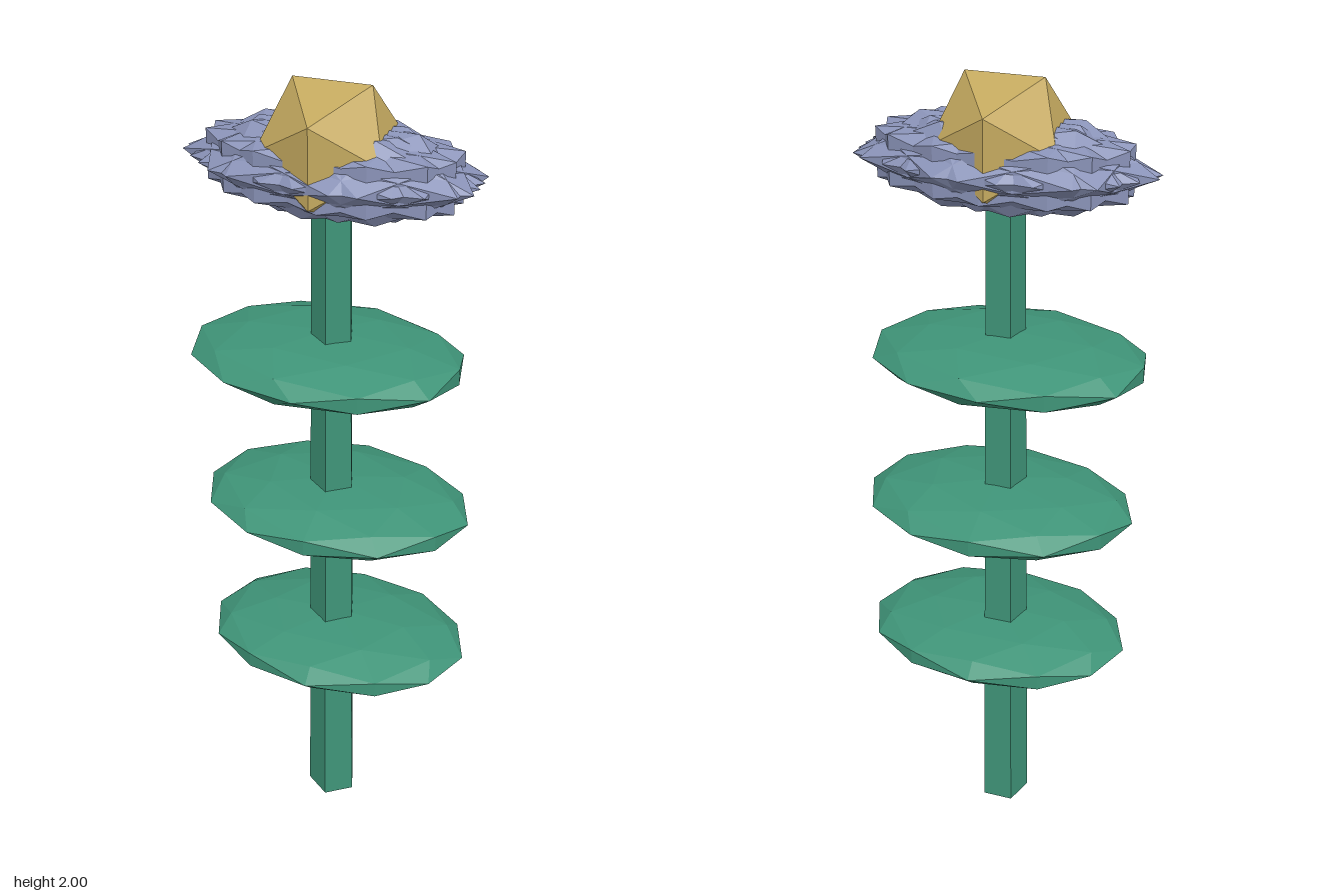
import * as THREE from 'three';

const paint = (color) => new THREE.MeshStandardMaterial({ color, flatShading: true });

export function createModel() {
  const plant = new THREE.Group();
  plant.name = 'flower';
  const green = paint(0x3f9478), violet = paint(0x8a93b8), gold = paint(0xc4a95f);

  const add = (name, geometry, material, x, y, z) => {
    const mesh = new THREE.Mesh(geometry, material);
    mesh.name = name;
    mesh.position.set(x, y, z);
    plant.add(mesh);
  };

  // Faceted ball turned about y, then squashed into an ellipsoid
  const blob = (detail, turn, rx, ry, rz) =>
    new THREE.IcosahedronGeometry(1, detail).rotateY(turn).scale(rx, ry, rz);

  const cx = -0.01;

  // Five-sided tapering stem
  add('stem', new THREE.CylinderGeometry(0.048, 0.066, 1.8, 5), green, cx, 0.9, 0.002);

  // Three flat leaves: [x, y, z, turn]
  [
    [0.006, 0.545, 0.007, 0],
    [-0.004, 0.945, -0.01, 0.55],
    [-0.028, 1.345, -0.007, 1.03],
  ].forEach(([x, y, z, turn]) =>
    add('leaf', blob(1, turn, 0.337, 0.065, 0.242), green, x, y, z));

  // Overlapping petals fanned round the flower head
  const petals = 7, rx = 0.345, rz = 0.16, spread = 0.03;
  for (let i = 0; i < petals; i++) {
    const a = (i / petals) * Math.PI * 2;
    add('petal', blob(0, -a, rx, 0.111, rz), violet,
      cx + Math.cos(a) * spread * rx, 1.812, Math.sin(a) * spread * rz);
  }

  // Faceted flower centre
  add('flowerCentre', new THREE.IcosahedronGeometry(0.171, 0), gold, -0.012, 1.855, 0.003);

  return plant;
}
